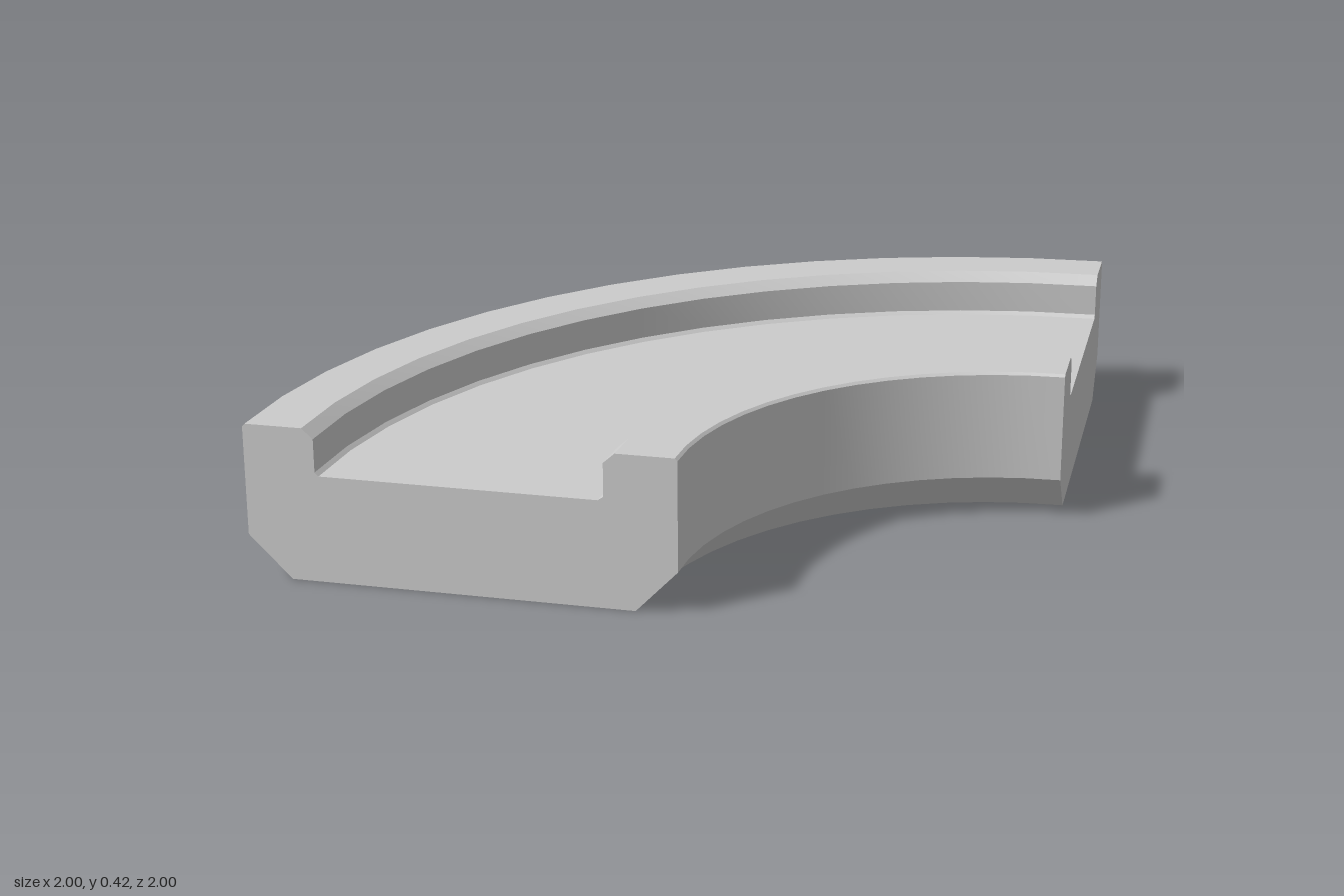
import * as THREE from 'three';
import { toCreasedNormals } from 'three/addons/utils/BufferGeometryUtils.js';

// Cross-section of the curved track as (radius, height), counter-clockwise
const PROFILE = [
  [0.97, 0], [1.885, 0], [2, 0.115], [2, 0.41], [1.993, 0.417], // underside, outer wall
  [1.84, 0.417], [1.81, 0.39], [1.81, 0.3], [1.8, 0.29],        // outer rail
  [1.065, 0.29], [1.05, 0.3], [1.05, 0.39], [1.02, 0.417],      // floor, inner rail
  [0.867, 0.417], [0.86, 0.41], [0.86, 0.115],                  // inner wall
];
const SEGMENTS = 14;

export function createModel() {
  const group = new THREE.Group();
  group.name = 'curvedTrack';
  const material = new THREE.MeshStandardMaterial({ color: 0xcccccc });

  const add = (name, geometry) => {
    const mesh = new THREE.Mesh(geometry, material);
    mesh.name = name;
    group.add(mesh);
    return mesh;
  };
  const section = (sign) => new THREE.ShapeGeometry(
    new THREE.Shape(PROFILE.map(([r, y]) => new THREE.Vector2(sign * r, y))));

  // Quarter-turn sweep around the corner at x = 1, z = 1
  const loop = [...PROFILE, PROFILE[0]].map(([r, y]) => new THREE.Vector2(r, y));
  const sweep = new THREE.LatheGeometry(loop, SEGMENTS, Math.PI, Math.PI / 2);
  add('trackBody', toCreasedNormals(sweep, 0.4)).position.set(1, 0, 1);

  // Flat ends: one facing the front, one facing the model's left
  add('frontEnd', section(-1)).position.set(1, 0, 1);
  add('leftEnd', section(1).rotateY(Math.PI / 2)).position.set(1, 0, 1);

  return group;
}
